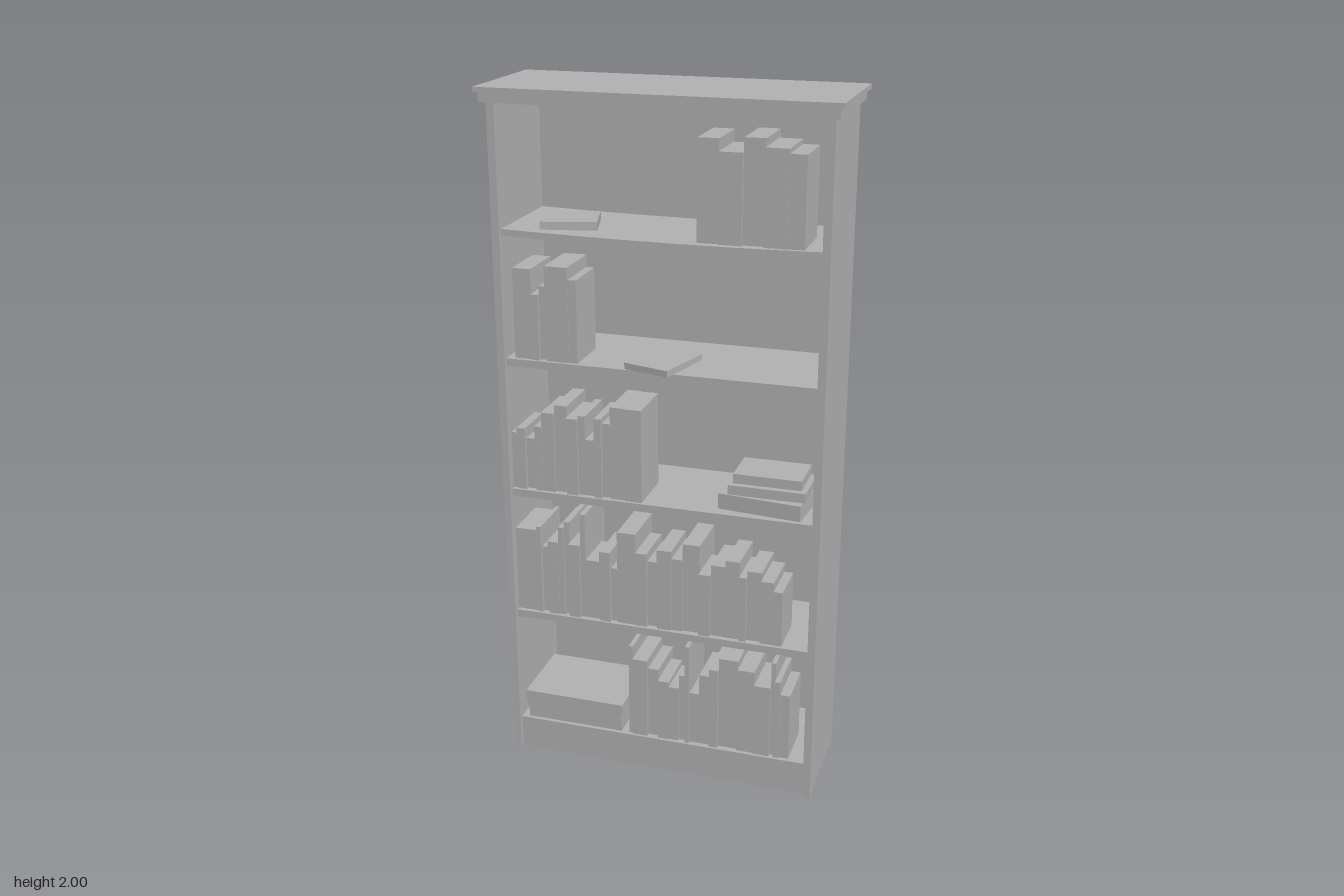
import * as THREE from 'three';

const paint = new THREE.MeshStandardMaterial({ color: 0xb2b2b2 });
paint.name = 'plain grey';

// Box given by its lower and upper limits on each axis
function box(parent, name, [x0, x1], [y0, y1], [z0, z1]) {
  const mesh = new THREE.Mesh(new THREE.BoxGeometry(x1 - x0, y1 - y0, z1 - z0), paint);
  mesh.position.set((x0 + x1) / 2, (y0 + y1) / 2, (z0 + z1) / 2);
  mesh.name = name;
  parent.add(mesh);
  return mesh;
}

// Upright books side by side; each is [width, height] in thousandths
function bookRow(parent, name, startX, shelfY, books) {
  const row = new THREE.Group();
  row.name = name;
  let x = startX;
  books.forEach(([w, h], i) => {
    const width = w / 1000, height = h / 1000;
    const front = 0.131 + 0.007 * Math.sin(i * 2.3);
    const depth = 0.1 + 0.2 * height;
    box(row, 'uprightBook', [x, x + width], [shelfY, shelfY + height], [front - depth, front]);
    x += width;
  });
  parent.add(row);
}

// Single book lying on a shelf, turned about the vertical
function lyingBook(parent, name, x, z, y, w, h, d, turn) {
  const mesh = box(parent, name, [x - w / 2, x + w / 2], [y, y + h], [z - d / 2, z + d / 2]);
  mesh.rotation.y = turn;
}

export function createModel() {
  const group = new THREE.Group();
  group.name = 'bookcase';
  const inner = 0.441, outer = 0.463, back = -0.169, front = 0.158;

  // Carcass
  box(group, 'leftSide', [inner, outer], [0, 1.96], [back, front]);
  box(group, 'rightSide', [-outer, -inner], [0, 1.96], [back, front]);
  box(group, 'backPanel', [-inner, inner], [0, 1.96], [back, -0.155]);
  box(group, 'kickBoard', [-inner, inner], [0, 0.084], [0.12, 0.14]);

  // Stepped crown
  box(group, 'crownLower', [-0.477, 0.477], [1.96, 1.987], [-0.175, 0.175]);
  box(group, 'crownTop', [-0.488, 0.488], [1.987, 2], [-0.183, 0.182]);

  // Shelves, by their upper surface
  const [s5, s4, s3, s2, s1] = [0.105, 0.473, 0.864, 1.257, 1.622];
  for (const y of [s5, s4, s3, s2]) {
    box(group, 'shelf', [-inner, inner], [y - 0.022, y], [-0.155, 0.144]);
  }

  // Top shelf sags a little in the middle
  const sagGeo = new THREE.BoxGeometry(inner * 2, 0.018, 0.299, 8, 1, 1);
  const pos = sagGeo.attributes.position;
  for (let i = 0; i < pos.count; i++) {
    const t = pos.getX(i) / inner;
    pos.setY(i, pos.getY(i) - 0.006 * (1 - t * t));
  }
  sagGeo.computeVertexNormals();
  const topShelf = new THREE.Mesh(sagGeo, paint);
  topShelf.name = 'topShelf';
  topShelf.position.set(0, s1 - 0.009, -0.0055);
  group.add(topShelf);

  // Rows of upright books
  bookRow(group, 'topBooks', 0.103, s1 - 0.002,
    [[58, 272], [63, 240], [58, 277], [63, 256], [45, 243]]);
  bookRow(group, 'secondShelfBooks', -0.42, s2,
    [[53, 256], [21, 187], [21, 209], [66, 269], [24, 235]]);
  bookRow(group, 'thirdShelfBooks', -0.441, s3,
    [[18, 169], [24, 185], [29, 153], [21, 195], [37, 238], [37, 261], [34, 230],
      [21, 238], [29, 169], [21, 238], [26, 222], [42, 275], [50, 275]]);
  bookRow(group, 'fourthShelfBooks', -0.441, s4,
    [[66, 261], [13, 275], [21, 209], [32, 232], [16, 280], [16, 296], [34, 232], [16, 328],
      [45, 185], [32, 222], [21, 169], [55, 288], [34, 232], [32, 206], [42, 251], [32, 227],
      [50, 275], [34, 193], [42, 222], [42, 243], [21, 201], [42, 217], [37, 195], [26, 169]]);
  bookRow(group, 'bottomBooks', -0.098, s5,
    [[13, 293], [45, 254], [32, 224], [34, 193], [29, 177], [21, 217], [13, 322], [29, 166],
      [32, 230], [26, 259], [58, 293], [50, 269], [48, 227], [13, 304], [16, 251], [29, 209]]);

  // Loose books lying flat
  lyingBook(group, 'topLyingBook', -0.286, 0.025, s1 - 0.005, 0.155, 0.024, 0.135, 0.27);
  lyingBook(group, 'secondLyingBook', -0.0075, 0.068, s2, 0.138, 0.018, 0.18, -0.27);

  // Stack on the third shelf
  lyingBook(group, 'stackedBook', 0.29, 0.04, s3, 0.24, 0.046, 0.16, -0.1);
  lyingBook(group, 'stackedBook', 0.3, 0.035, s3 + 0.046, 0.22, 0.028, 0.145, 0);
  lyingBook(group, 'stackedBook', 0.297, 0.025, s3 + 0.074, 0.195, 0.028, 0.13, 0);

  // Large books stacked on the bottom shelf
  lyingBook(group, 'largeStackedBook', -0.271, 0.02, s5, 0.298, 0.03, 0.225, 0);
  lyingBook(group, 'largeStackedBook', -0.272, 0.022, s5 + 0.03, 0.3, 0.028, 0.23, 0);
  lyingBook(group, 'largeStackedBook', -0.271, 0.024, s5 + 0.058, 0.308, 0.034, 0.232, 0);

  return group;
}
